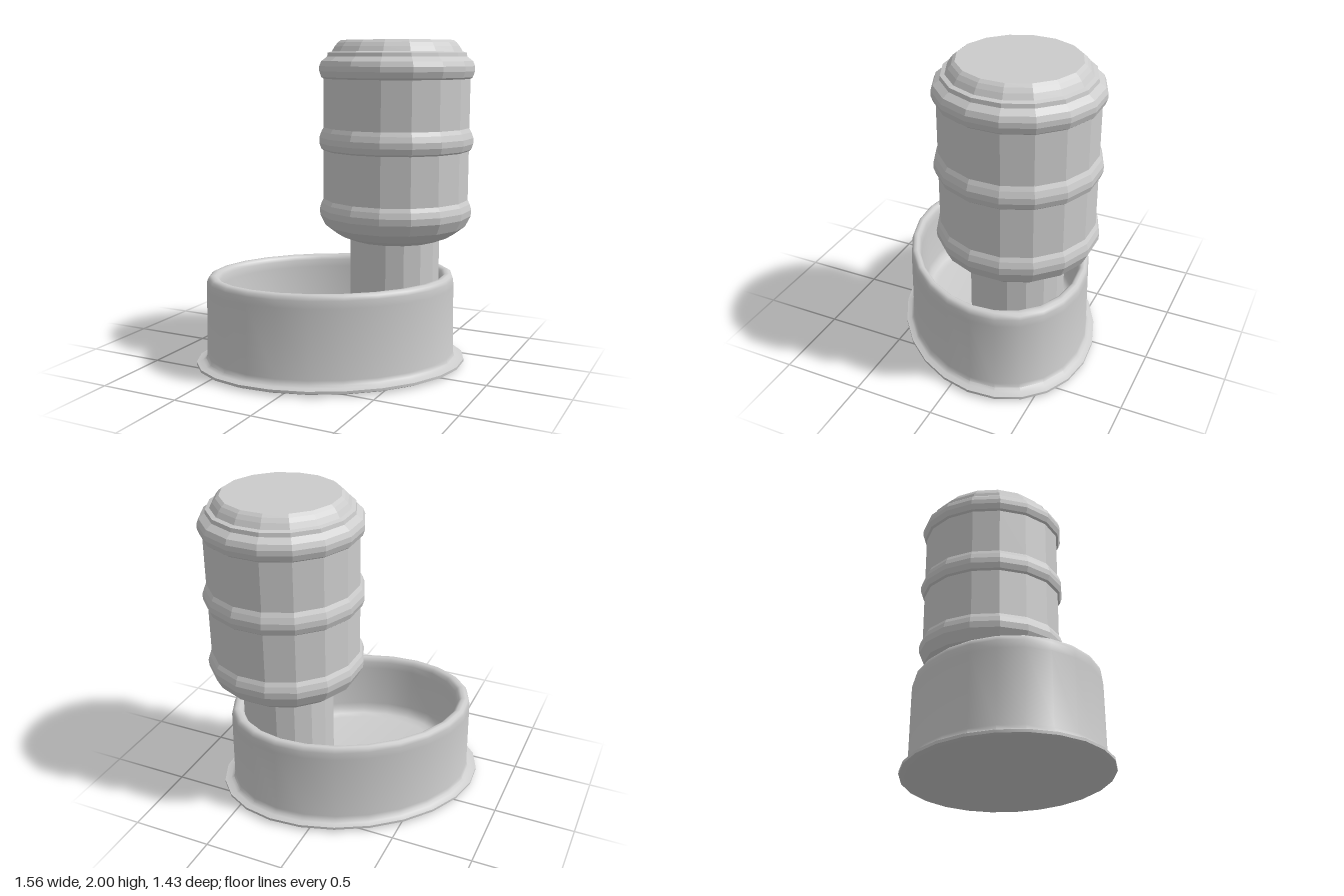
import * as THREE from 'three';
import { toCreasedNormals } from 'three/addons/utils/BufferGeometryUtils.js';

const SIDES = 16;
const FLAT = Math.cos(Math.PI / SIDES); // flat-to-corner ratio of the faceted parts

const toPoints = (pairs) => pairs.map(([r, y]) => new THREE.Vector2(r, y));

// Faceted round part; radii are measured to the middle of the facets
function facetedLathe(name, profile, material) {
  const points = toPoints(profile.map(([r, y]) => [r / FLAT, y]));
  const mesh = new THREE.Mesh(new THREE.LatheGeometry(points, SIDES, Math.PI / SIDES), material);
  mesh.name = name;
  mesh.position.set(0.308, 0, -0.246);
  return mesh;
}

export function createModel() {
  const group = new THREE.Group();
  group.name = 'waterDispenser';
  const smooth = new THREE.MeshStandardMaterial({ color: 0xcccccc });
  const faceted = new THREE.MeshStandardMaterial({ color: 0xcccccc, flatShading: true });

  // Oval bowl: unit profile stretched to an ellipse and turned diagonally
  const bowlProfile = toPoints([
    [0, 0], [0.88, 0], [0.975, 0.01], [1, 0.018], [1, 0.034], [0.955, 0.043],
    [0.93, 0.055], [0.92, 0.08], [0.912, 0.5], [0.91, 0.545], [0.9, 0.567], [0.88, 0.578],
    [0.85, 0.578], [0.83, 0.567], [0.818, 0.545], [0.812, 0.5],
    [0.8, 0.22], [0.785, 0.18], [0.75, 0.155], [0.69, 0.145], [0, 0.145],
  ]);
  const bowlGeometry = new THREE.LatheGeometry(bowlProfile, 24);
  bowlGeometry.scale(0.842, 1, 0.615);
  const bowl = new THREE.Mesh(toCreasedNormals(bowlGeometry, 0.75), smooth);
  bowl.name = 'bowl';
  bowl.rotation.y = THREE.MathUtils.degToRad(33.8);
  bowl.position.set(-0.005, 0, 0.021);
  group.add(bowl);

  // Neck standing in the bowl
  group.add(facetedLathe('neck', [[0, 0.1], [0.275, 0.1], [0.275, 0.8], [0, 0.8]], faceted));

  // Ribbed bottle turned upside down on the neck
  group.add(facetedLathe('bottle', [
    [0, 0.78], [0.275, 0.78], [0.36, 0.815], [0.43, 0.87], [0.462, 0.935], [0.465, 0.975],
    [0.455, 1.01], [0.442, 1.035],
    [0.442, 1.335], [0.455, 1.345], [0.467, 1.38], [0.467, 1.415], [0.455, 1.45], [0.442, 1.475],
    [0.442, 1.77], [0.455, 1.78], [0.467, 1.815], [0.467, 1.845], [0.455, 1.875],
    [0.42, 1.902], [0.416, 1.925], [0.392, 1.932], [0.375, 1.962], [0.357, 1.985],
    [0.338, 2], [0, 2],
  ], faceted));

  return group;
}
